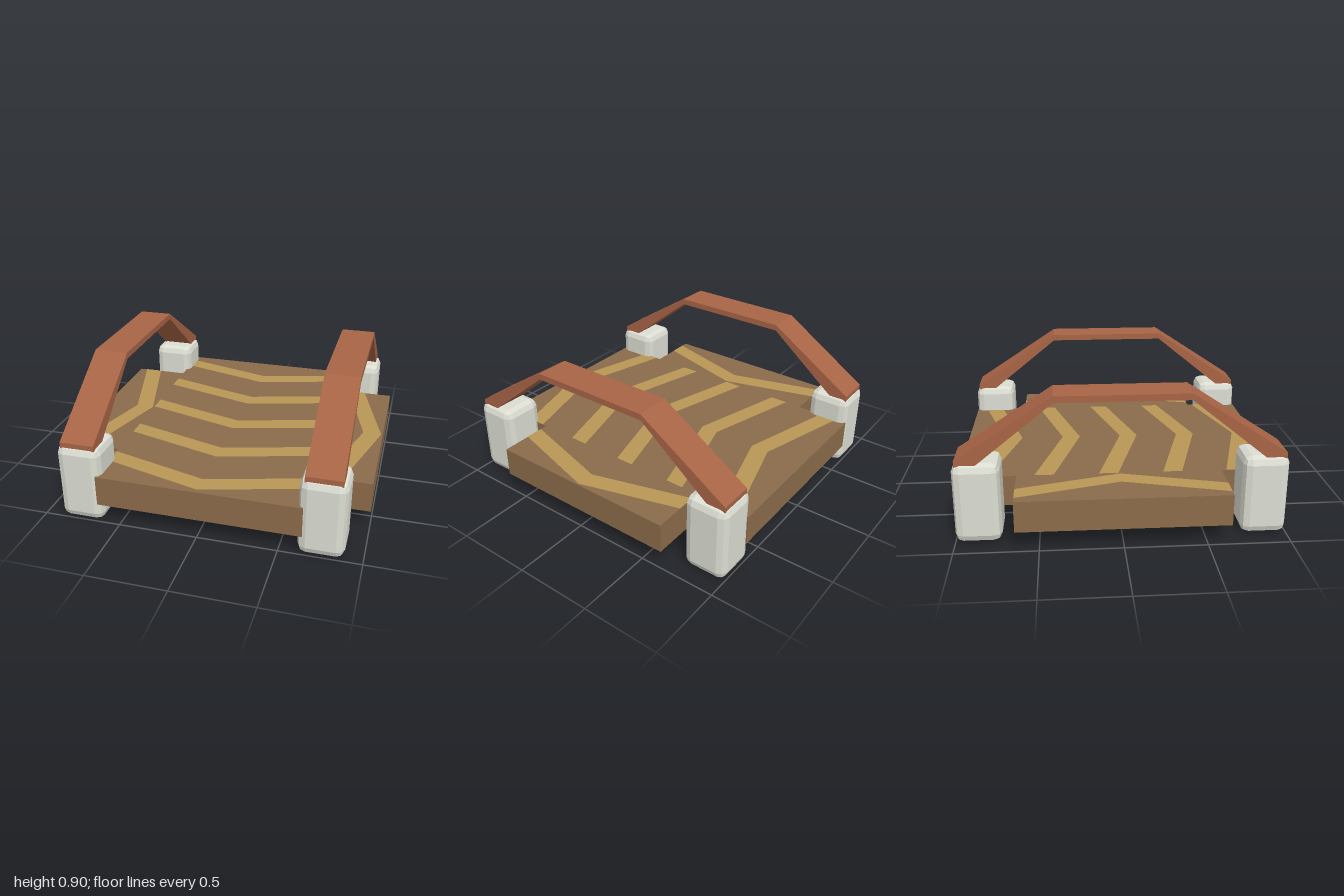
import * as THREE from 'three';
import { RoundedBoxGeometry } from 'three/addons/geometries/RoundedBoxGeometry.js';

const mat = (color) => new THREE.MeshStandardMaterial({ color, flatShading: true });
const shapeOf = (pts) => new THREE.Shape(pts.map(([x, y]) => new THREE.Vector2(x, y)));

export function createModel() {
  const model = new THREE.Group();
  const wood = mat(0x8b6b4a), paint = mat(0xb89655), clay = mat(0xa86446), stone = mat(0xdcddd2);
  const add = (name, geometry, material) => {
    const mesh = new THREE.Mesh(geometry, material);
    mesh.name = name;
    model.add(mesh);
    return mesh;
  };

  // Cross-shaped deck, notched at the corners
  const n = 0.64;
  const outline = [[n, -1], [n, -n], [1, -n], [1, n], [n, n], [n, 1],
    [-n, 1], [-n, n], [-1, n], [-1, -n], [-n, -n], [-n, -1]];
  const deck = new THREE.ExtrudeGeometry(shapeOf(outline), { depth: 0.195, bevelEnabled: false });
  add('deck', deck.rotateX(-Math.PI / 2).translate(0, 0.125, 0), wood);

  // Painted chevrons: a V whose tip points to +z, or to +x when turned
  const chevron = (name, tip, turn) => {
    const back = tip - 0.28 * n, w = 0.12;
    const geometry = new THREE.ShapeGeometry(shapeOf([
      [-n, -back], [0, -tip], [n, -back], [n, w - back], [0, w - tip], [-n, w - back]]));
    add(name, geometry.rotateX(-Math.PI / 2).rotateY(turn).translate(0, 0.322, 0), paint);
  };
  for (let i = 0; i < 5; i++) chevron('deckStripe', -0.63 + i * 0.4, 0);
  chevron('leftWingStripe', 0.99, Math.PI / 2);
  chevron('rightWingStripe', -0.65, Math.PI / 2);

  // Arched handrail profile, drawn along z
  const rail = shapeOf([[-0.98, 0.52], [-0.98, 0.48], [-0.87, 0.48], [-0.4, 0.86],
    [0.4, 0.86], [0.87, 0.48], [0.98, 0.48], [0.98, 0.52], [0.4, 0.9], [-0.4, 0.9]]);
  for (const side of [1, -1]) {
    const name = side > 0 ? 'left' : 'right';
    const geometry = new THREE.ExtrudeGeometry(rail, { depth: 0.22, bevelEnabled: false });
    geometry.translate(0, 0, -0.11).rotateY(Math.PI / 2).translate(side * 0.75, 0, 0);
    add(name + 'Handrail', geometry, clay);

    // Bevelled corner posts
    for (const end of [1, -1]) {
      const post = add(name + (end > 0 ? 'FrontPost' : 'BackPost'),
        new RoundedBoxGeometry(0.28, 0.5, 0.28, 1, 0.05), stone);
      post.position.set(side * 0.75, 0.25, end * 0.86);
    }
  }
  return model;
}
